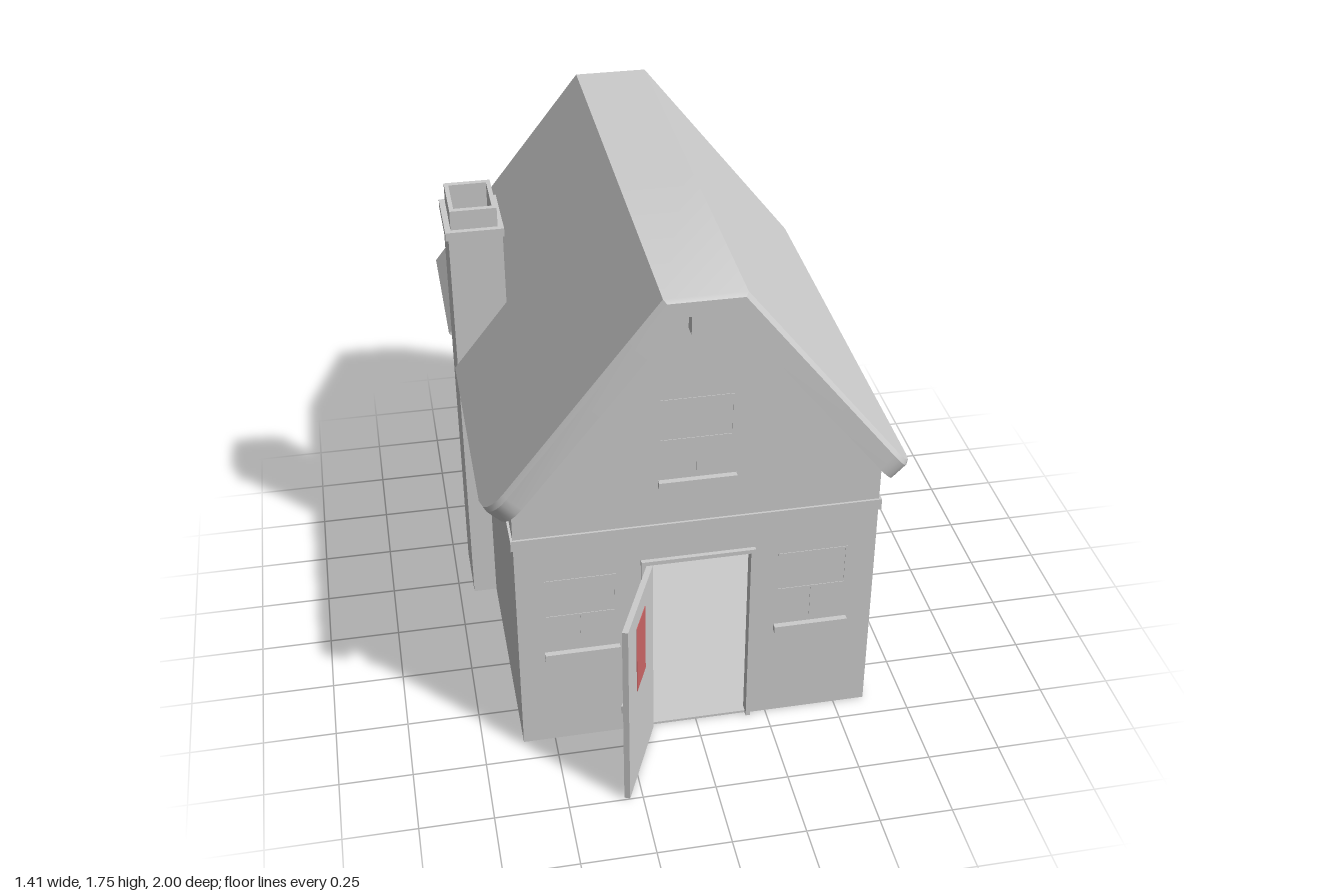
import * as THREE from 'three';
import { toCreasedNormals } from 'three/addons/utils/BufferGeometryUtils.js';

const grey = new THREE.MeshStandardMaterial({ color: 0xcccccc });
const glass = new THREE.MeshStandardMaterial({ color: 0xcc6666 });

function add(parent, name, geometry, material = grey) {
  const mesh = new THREE.Mesh(geometry, material);
  mesh.name = name;
  parent.add(mesh);
  return mesh;
}

// Box given by its limits on each axis
function block(parent, name, x0, x1, y0, y1, z0, z1, material) {
  const g = new THREE.BoxGeometry(x1 - x0, y1 - y0, z1 - z0);
  g.translate((x0 + x1) / 2, (y0 + y1) / 2, (z0 + z1) / 2);
  return add(parent, name, g, material);
}

// Gable wall, optionally with a door opening cut up from the ground
function gableWall(parent, name, z, depth, opening) {
  const pts = [[0.61, 0], [0.61, 1.015], [0.07, 1.69], [-0.07, 1.69], [-0.61, 1.015], [-0.61, 0]];
  if (opening) pts.push([-0.18, 0], [-0.18, 0.73], [0.18, 0.73], [0.18, 0]);
  const shape = new THREE.Shape(pts.map(p => new THREE.Vector2(...p)));
  const g = new THREE.ExtrudeGeometry(shape, { depth, bevelEnabled: false });
  g.translate(0, 0, z);
  add(parent, name, g);
}

// Upright square tube, open at both ends
function flue(parent, name, x0, x1, z0, z1, y0, y1) {
  const rect = (a, b, c, d) => [[a, -d], [b, -d], [b, -c], [a, -c]].map(p => new THREE.Vector2(...p));
  const shape = new THREE.Shape(rect(x0, x1, z0, z1));
  shape.holes.push(new THREE.Path(rect(-0.67, -0.54, -0.4, -0.22)));
  const g = new THREE.ExtrudeGeometry(shape, { depth: y1 - y0, bevelEnabled: false });
  g.rotateX(-Math.PI / 2);
  g.translate(0, y0, 0);
  add(parent, name, g);
}

// Length of roof; t runs from ridge (0) to eave (1) on each side
function roofSection(parent, name, z0, z1, left, right, rounded) {
  const stations = [...left.map(t => [-1, t]).reverse(), ...right.map(t => [1, t])];
  const n = stations.length - 1;
  const g = new THREE.BoxGeometry(n, 1, 2, n, 1, 2);
  const p = g.attributes.position;
  for (let i = 0; i < p.count; i++) {
    const [side, t] = stations[Math.round(p.getX(i) + n / 2)];
    const upper = p.getY(i) > 0;
    const slice = Math.round(p.getZ(i));
    let x = upper ? 0.13 + 0.575 * t : 0.07 + 0.58 * t;
    let y = upper ? 1.75 - 0.73 * t : 1.69 - 0.725 * t;
    let z = z0;
    if (slice >= 0) {
      const s = Math.max(0, (t - 0.88) / 0.12);
      z = z1 - (rounded ? 0.1 * (1 - Math.sqrt(1 - Math.min(1, s * s))) : 0);
      if (slice === 0) z -= 0.015;
      else if (rounded && upper) { x -= 0.01; y -= 0.01; }
    }
    p.setXYZ(i, side * x, y, z);
  }
  add(parent, name, toCreasedNormals(g, 0.6));
}

// Window lines lying almost flush in the front wall, with a sill below
function windowUnit(parent, name, x, y) {
  const w = new THREE.Group();
  w.name = name;
  parent.add(w);
  const f = 0.667;
  block(w, 'sill', x - 0.128, x + 0.128, y, y + 0.025, 0.65, 0.685);
  for (const h of [0.17, 0.32]) block(w, 'crossBar', x - 0.12, x + 0.12, y + h, y + h + 0.008, 0.655, f);
  block(w, 'centreBar', x - 0.004, x + 0.004, y + 0.05, y + 0.17, 0.655, f);
  block(w, 'sideBar', x + 0.112, x + 0.12, y + 0.17, y + 0.32, 0.655, f);
}

export function createModel() {
  const house = new THREE.Group();
  house.name = 'house';

  // Hollow shell
  gableWall(house, 'frontWall', 0.645, 0.02, true);
  gableWall(house, 'backWall', -0.92, 0.02, false);
  for (const s of [-1, 1]) {
    const x = s * 0.6025;
    block(house, 'sideWall', x - 0.0075, x + 0.0075, 0, 1.015, -0.92, 0.665);
  }
  block(house, 'floor', -0.609, 0.609, 0.001, 0.01, -0.919, 0.664);

  // Trim band round the walls
  for (const s of [-1, 1]) {
    const x = s * 0.612;
    block(house, 'sideTrim', x - 0.006, x + 0.006, 0.842, 0.882, -0.93, 0.673);
  }
  block(house, 'frontTrim', -0.618, 0.618, 0.842, 0.882, 0.66, 0.673);
  block(house, 'backTrim', -0.618, 0.618, 0.842, 0.882, -0.93, -0.915);

  // Roof, notched on one side for the chimney
  const full = [0, 0.88, 0.91, 0.94, 0.965, 0.985, 1];
  roofSection(house, 'frontRoof', -0.19, 0.735, full, full, true);
  roofSection(house, 'middleRoof', -0.43, -0.19, [0, 0.74], [0, 1], false);
  roofSection(house, 'backRoof', -1, -0.43, [0, 1], [0, 1], false);
  block(house, 'ridgeBeam', -0.04, 0.04, 1.61, 1.695, -0.91, 0.71);

  // Chimney
  flue(house, 'chimneyStack', -0.695, -0.51, -0.43, -0.19, 0, 1.53);
  flue(house, 'chimneyBand', -0.705, -0.505, -0.44, -0.18, 1.53, 1.56);
  flue(house, 'chimneyTop', -0.685, -0.525, -0.42, -0.2, 1.56, 1.63);

  // Windows
  windowUnit(house, 'leftWindow', 0.395, 0.37);
  windowUnit(house, 'rightWindow', -0.395, 0.37);
  windowUnit(house, 'gableWindow', -0.007, 1.03);

  // Door frame
  for (const s of [-1, 1]) {
    block(house, 'doorPost', s * 0.185 - 0.008, s * 0.185 + 0.008, 0, 0.74, 0.64, 0.68);
  }
  block(house, 'doorHead', -0.193, 0.193, 0.725, 0.74, 0.64, 0.68);

  // Door standing open
  const door = new THREE.Group();
  door.name = 'door';
  door.position.set(-0.155, 0, 0.68);
  door.rotation.y = -1.98;
  block(door, 'doorLeaf', 0, 0.35, 0.003, 0.725, 0, 0.02);
  block(door, 'doorPane', 0.12, 0.24, 0.385, 0.65, -0.002, 0.023, glass);
  block(door, 'doorHandle', 0.3, 0.315, 0.35, 0.38, 0.02, 0.035);
  house.add(door);

  return house;
}
